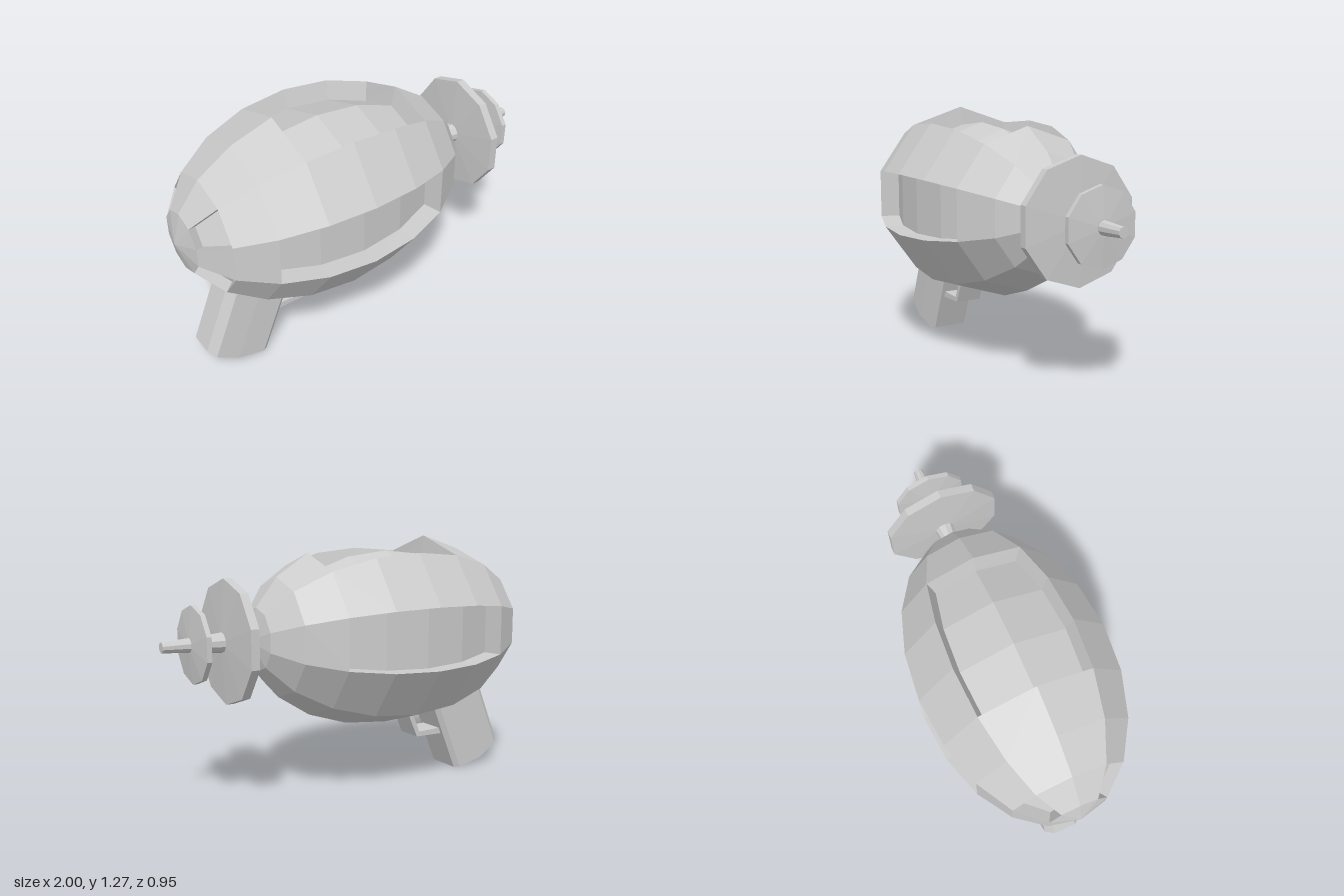
import * as THREE from 'three';

const AXIS_Y = 0.78, CENTRE_X = -0.22, HALF_LENGTH = 0.78, RADIUS = 0.5;
const SIDES = 10, RINGS = 10, STEP = (Math.PI * 2) / SIDES;

const material = new THREE.MeshStandardMaterial({ color: 0xcccccc, flatShading: true });

function addMesh(parent, name, geometry) {
  const flat = geometry.index ? geometry.toNonIndexed() : geometry;
  flat.computeVertexNormals();
  const mesh = new THREE.Mesh(flat, material);
  mesh.name = name;
  parent.add(mesh);
  return mesh;
}

// Recessed areas of the hull, as ranges of rings (i) and sides (j)
const recesses = [
  { i0: 4, i1: 7, j0: -1, j1: 1, depth: 0.097, squeeze: 0.05, shift: 0 }, // top panel
  ...[2, 7].map(j => ({ i0: 3, i1: 7, j0: j, j1: j + 1, depth: 0.097, squeeze: 0.05, shift: 0 })), // side panels
  ...[1, 3, 6, 8].map(j => ({ i0: 1, i1: 2, j0: j, j1: j + 1, depth: 0.035, squeeze: 0, shift: 0.045 })), // tail vents
];

// Point of the hull at ring i (tail to nose) and side j (from the top towards +z)
function hullPoint(i, j) {
  const lat = (i * Math.PI) / RINGS, r = RADIUS * Math.sin(lat);
  return new THREE.Vector3(
    CENTRE_X - HALF_LENGTH * Math.cos(lat),
    AXIS_Y + r * Math.cos(j * STEP),
    r * Math.sin(j * STEP));
}

// The same point pushed in to the floor of a recess
function floorPoint(i, j, rec) {
  const p = hullPoint(i, j);
  const a = (j === rec.j0 ? j + 0.5 : j === rec.j1 ? j - 0.5 : j) * STEP;
  p.x += rec.shift - rec.squeeze * (p.x - CENTRE_X);
  p.y -= rec.depth * Math.cos(a);
  p.z -= rec.depth * Math.sin(a);
  return p;
}

function hullGeometry() {
  const positions = [];
  const quad = (a, b, c, d) => [a, b, c, a, c, d].forEach(p => positions.push(p.x, p.y, p.z));
  for (let i = 0; i < RINGS; i++) {
    for (let j = -1; j < SIDES - 1; j++) {
      const corners = [[i, j], [i, j + 1], [i + 1, j + 1], [i + 1, j]];
      const outer = corners.map(c => hullPoint(...c));
      const rec = recesses.find(r => i >= r.i0 && i < r.i1 && j >= r.j0 && j < r.j1);
      if (!rec) {
        quad(...outer);
        continue;
      }
      // floor, then a wall on each side that borders the recess
      const inner = corners.map(c => floorPoint(...c, rec));
      quad(...inner);
      const border = [i === rec.i0, j + 1 === rec.j1, i + 1 === rec.i1, j === rec.j0];
      border.forEach((open, k) => {
        const n = (k + 1) % 4;
        if (open) quad(outer[k], outer[n], inner[n], inner[k]);
      });
    }
  }
  const geometry = new THREE.BufferGeometry();
  geometry.setAttribute('position', new THREE.Float32BufferAttribute(positions, 3));
  return geometry;
}

// Ten-sided turned part along the barrel axis, from [x, radius] pairs
function turned(profile) {
  const points = profile.map(([x, r]) => new THREE.Vector2(r, x));
  return new THREE.LatheGeometry(points, SIDES, Math.PI / 2)
    .rotateZ(-Math.PI / 2).translate(0, AXIS_Y, 0);
}

function discGeometry(x, radius, rim, hub) {
  return turned([[x - hub, 0], [x - hub, 0.04], [x - rim, radius],
    [x + rim, radius], [x + hub, 0.04], [x + hub, 0]]);
}

// Slanted grip with bevelled corners and a slightly rounded butt
function gripGeometry() {
  const half = [[0.17, 0.09], [0.145, 0.108], [0, 0.108], [-0.13, 0.1], [-0.17, 0.06]];
  const outline = [...half, ...half.map(([u, w]) => [u, -w]).reverse()];
  const shape = new THREE.Shape(outline.map(([u, w]) => new THREE.Vector2(u, w)));
  const geometry = new THREE.ExtrudeGeometry(shape, { depth: 0.45, bevelEnabled: false });
  const pos = geometry.attributes.position;
  for (let k = 0; k < pos.count; k++) {
    if (pos.getZ(k) < 0.01) pos.setZ(k, -0.032 * (1 - (pos.getX(k) / 0.17) ** 2));
  }
  const up = new THREE.Vector3(0.378, 0.926, 0).normalize();
  const across = new THREE.Vector3(up.y, -up.x, 0);
  const matrix = new THREE.Matrix4()
    .makeBasis(across, new THREE.Vector3(0, 0, -1), up)
    .setPosition(-0.7825, 0.0525, 0);
  return geometry.applyMatrix4(matrix);
}

// Bent strip in front of the grip
function triggerGeometry() {
  const outline = [[-0.6, 0.185], [-0.385, 0.19], [-0.325, 0.325], [-0.355, 0.325],
    [-0.4, 0.215], [-0.6, 0.22]];
  const shape = new THREE.Shape(outline.map(p => new THREE.Vector2(...p)));
  return new THREE.ExtrudeGeometry(shape, { depth: 0.14, bevelEnabled: false })
    .translate(0, 0, -0.07);
}

export function createModel() {
  const model = new THREE.Group();
  model.name = 'rayGun';
  addMesh(model, 'hull', hullGeometry());
  addMesh(model, 'barrel', turned([[0.53, 0], [0.53, 0.035], [0.65, 0.053],
    [0.82, 0.038], [1, 0.025], [1, 0]]));
  addMesh(model, 'largeDisc', discGeometry(0.667, 0.3, 0.021, 0.036));
  addMesh(model, 'smallDisc', discGeometry(0.84, 0.185, 0.012, 0.026));
  addMesh(model, 'grip', gripGeometry());
  addMesh(model, 'trigger', triggerGeometry());
  return model;
}
